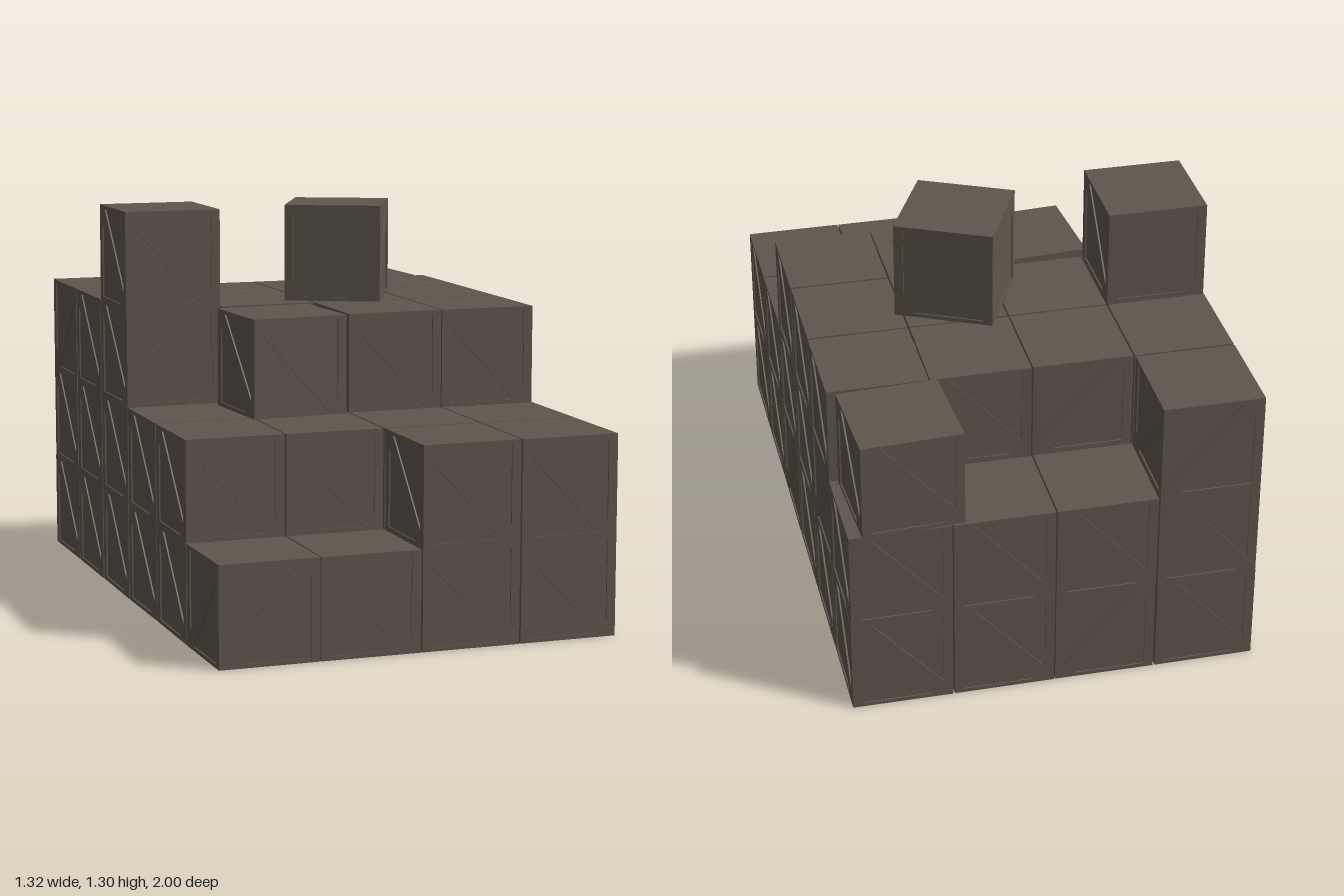
import * as THREE from 'three';
import { mergeGeometries } from 'three/addons/utils/BufferGeometryUtils.js';

const S = 0.325;      // crate edge length
const DEPTH = 0.005;  // recess of the side panels
const H = S / 2;

// Framed side with two triangular openings, leaving a diagonal brace
function sideFrame(flip) {
  const outline = [[-H, -H], [H, -H], [H, H], [-H, H]];
  const shape = new THREE.Shape(outline.map(([x, y]) => new THREE.Vector2(x, y)));
  const a = H - 0.03, b = H - 0.013, w = 0.036;
  for (const s of [1, -1]) {
    const tri = [[-a + w, -b], [a, -b], [a, b - w * 1.2]];
    shape.holes.push(new THREE.Path(tri.map(([x, y]) => new THREE.Vector2(x * s * flip, y * s))));
  }
  const g = new THREE.ExtrudeGeometry(shape, { depth: DEPTH, bevelEnabled: false });
  return g.translate(0, 0, H - DEPTH);
}

// Solid core with a braced frame on each of the four sides
function crateGeometry(flip) {
  const core = S - 2 * DEPTH;
  const parts = [new THREE.BoxGeometry(core, S, core).toNonIndexed()];
  for (let i = 0; i < 4; i++) parts.push(sideFrame(flip).rotateY(i * Math.PI / 2));
  return mergeGeometries(parts);
}

export function createModel() {
  const model = new THREE.Group();
  model.name = 'crateStack';
  const wood = new THREE.MeshStandardMaterial({ color: 0x5f564c });
  wood.name = 'dark weathered wood';
  const fall = crateGeometry(-1), rise = crateGeometry(1);

  let seed = 7;
  const rand = () => (seed = (seed * 16807) % 2147483647) / 2147483647;

  function addCrate(name, geometry, x, level, z, turn) {
    const crate = new THREE.Mesh(geometry, wood);
    crate.name = name;
    crate.position.set(x, (level + 0.5) * S, z);
    crate.rotation.y = turn;
    model.add(crate);
  }

  // Number of neatly stacked crates, front row first, from -x to +x
  const heights = [
    [1, 1, 2, 2],
    [2, 2, 2, 2],
    [2, 2, 3, 3],
    [4, 3, 3, 3],
    [3, 3, 3, 3],
    [3, 2, 2, 2],
  ];
  heights.forEach((row, r) => row.forEach((count, c) => {
    for (let level = 0; level < count; level++) {
      addCrate('crate', rand() < 0.25 ? rise : fall,
        -0.495 + 0.33 * c, level, 0.832 - 0.3325 * r, (rand() - 0.5) * 0.012);
    }
  }));

  // Crates set down askew on top
  addCrate('looseTopCrate', rise, 0.14, 3, -0.165, -0.45);
  addCrate('looseFrontCrate', fall, -0.185, 2, 0.197, 0.07);
  addCrate('looseBackCrate', fall, 0.46, 2, -0.83, 0.05);
  return model;
}
